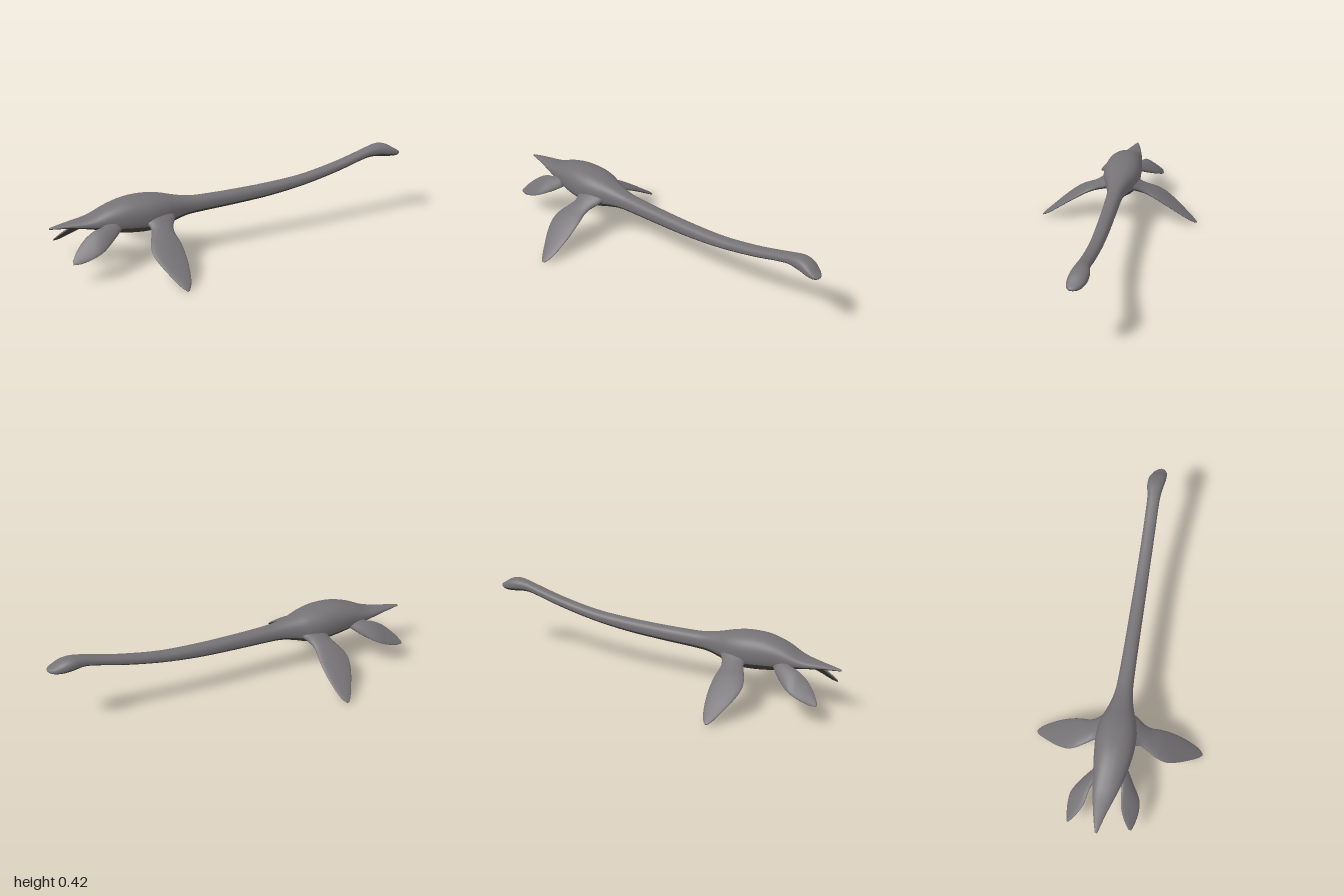
import * as THREE from 'three';

const V = (x, y, z) => new THREE.Vector3(x, y, z);

// Smooth closed skin over rings: centre c, half axes a and b.
// Group 0 is the upper skin, group 1 the faces turned down (the belly side).
function loft(rings, steps, sides, power) {
  const curves = ['c', 'a', 'b'].map(
    (k) => new THREE.CatmullRomCurve3(rings.map((r) => r[k]), false, 'catmullrom', 0.5));
  const rows = (rings.length - 1) * steps;
  const pos = [], idx = [];
  const bend = (v) => Math.sign(v) * Math.pow(Math.abs(v), 2 / power);
  for (let i = 0; i <= rows; i++) {
    const [c, a, b] = curves.map((k) => k.getPoint(i / rows));
    for (let j = 0; j < sides; j++) {
      const t = (j / sides) * Math.PI * 2;
      const p = c.clone().addScaledVector(a, bend(Math.cos(t))).addScaledVector(b, bend(Math.sin(t)));
      pos.push(p.x, p.y, p.z);
    }
  }
  for (let i = 0; i < rows; i++) {
    for (let j = 0; j < sides; j++) {
      const p = i * sides + j, q = i * sides + ((j + 1) % sides);
      idx.push(p, p + sides, q, q, p + sides, q + sides);
    }
  }
  // End caps
  const first = pos.length / 3, last = first + 1, end = rows * sides;
  const c0 = rings[0].c, c1 = rings[rings.length - 1].c;
  pos.push(c0.x, c0.y, c0.z, c1.x, c1.y, c1.z);
  for (let j = 0; j < sides; j++) {
    const k = (j + 1) % sides;
    idx.push(first, j, k, last, end + k, end + j);
  }
  const g = new THREE.BufferGeometry();
  g.setAttribute('position', new THREE.Float32BufferAttribute(pos, 3));
  g.setIndex(idx);
  g.computeVertexNormals();

  // Split upper and lower faces by how far they turn down
  const normal = g.attributes.normal;
  const upper = [], lower = [];
  for (let i = 0; i < idx.length; i += 3) {
    const face = idx.slice(i, i + 3);
    const down = face.reduce((sum, v) => sum + normal.getY(v), 0) / 3;
    (down < -0.42 ? lower : upper).push(...face);
  }
  g.setIndex([...upper, ...lower]);
  g.addGroup(0, upper.length, 0);
  g.addGroup(upper.length, lower.length, 1);
  return g;
}

// Paddle from pairs of opposite edge points and a half thickness
function paddle(sections) {
  const mid = (s) => s[0].clone().add(s[1]).multiplyScalar(0.5);
  const rings = sections.map((s, i) => {
    const before = mid(sections[Math.max(i - 1, 0)]);
    const after = mid(sections[Math.min(i + 1, sections.length - 1)]);
    const a = s[0].clone().sub(s[1]).multiplyScalar(0.5);
    const b = a.clone().cross(after.sub(before)).normalize().multiplyScalar(s[2]);
    return { c: mid(s), a, b };
  });
  return loft(rings, 6, 28, 2);
}

// Tail to snout: x, bottom, top, middle z, half width
const BODY = [
  [-1.0, 0.242, 0.25, -0.037, 0.006],
  [-0.95, 0.239, 0.258, -0.036, 0.02],
  [-0.9, 0.236, 0.265, -0.034, 0.033],
  [-0.8, 0.22, 0.283, -0.026, 0.06],
  [-0.7, 0.193, 0.328, -0.016, 0.082],
  [-0.6, 0.174, 0.354, -0.011, 0.098],
  [-0.5, 0.167, 0.356, -0.01, 0.104],
  [-0.42, 0.174, 0.345, -0.01, 0.092],
  [-0.35, 0.194, 0.326, -0.008, 0.068],
  [-0.28, 0.21, 0.31, -0.006, 0.05],
  [-0.2, 0.215, 0.302, -0.005, 0.042],
  [0.0, 0.222, 0.3, -0.004, 0.038],
  [0.2, 0.234, 0.304, -0.003, 0.036],
  [0.4, 0.26, 0.318, -0.002, 0.034],
  [0.6, 0.302, 0.355, -0.001, 0.033],
  [0.75, 0.344, 0.394, -0.001, 0.033],
  [0.82, 0.358, 0.414, -0.001, 0.035],
  [0.88, 0.354, 0.424, -0.002, 0.044],
  [0.93, 0.349, 0.414, 0.004, 0.046],
  [0.97, 0.35, 0.39, 0.013, 0.037],
  [0.993, 0.357, 0.376, 0.018, 0.021],
  [1.0, 0.363, 0.37, 0.019, 0.008],
];

// Front paddle: z, y, leading x, trailing x, half thickness
const FRONT = [
  [0.03, 0.262, -0.36, -0.56, 0.034],
  [0.08, 0.236, -0.375, -0.53, 0.028],
  [0.12, 0.214, -0.4, -0.52, 0.023],
  [0.16, 0.194, -0.41, -0.537, 0.019],
  [0.21, 0.168, -0.404, -0.56, 0.017],
  [0.26, 0.136, -0.402, -0.566, 0.015],
  [0.32, 0.094, -0.407, -0.546, 0.012],
  [0.38, 0.049, -0.42, -0.513, 0.009],
  [0.42, 0.019, -0.436, -0.488, 0.007],
  [0.442, 0.003, -0.454, -0.468, 0.003],
];

// Rear paddle: outer x y z, inner x y z, half thickness, extra splay on the right
const REAR = [
  [-0.66, 0.225, 0.075, -0.71, 0.262, 0.025, 0.022, 0.01],
  [-0.71, 0.19, 0.105, -0.75, 0.248, 0.055, 0.017, 0.035],
  [-0.78, 0.155, 0.148, -0.8, 0.235, 0.059, 0.014, 0.05],
  [-0.84, 0.13, 0.155, -0.855, 0.203, 0.068, 0.011, 0.056],
  [-0.9, 0.11, 0.143, -0.905, 0.158, 0.092, 0.008, 0.065],
  [-0.936, 0.106, 0.13, -0.936, 0.12, 0.116, 0.003, 0.073],
];

export function createModel() {
  const model = new THREE.Group();
  model.name = 'longNeckedSeaReptile';
  const skin = new THREE.MeshStandardMaterial({ color: 0x757275 });
  skin.name = 'grey skin';
  const belly = new THREE.MeshStandardMaterial({ color: 0x42423a });
  belly.name = 'dark belly';
  const add = (name, geometry) => {
    const mesh = new THREE.Mesh(geometry, [skin, belly]);
    mesh.name = name;
    model.add(mesh);
  };

  // Tail, trunk, neck and head in one skin
  add('bodyNeckAndHead', loft(BODY.map(([x, low, high, z, w]) => ({
    c: V(x, (low + high) / 2, z), a: V(0, 0, w), b: V(0, (high - low) / 2, 0),
  })), 6, 56, 2.3));

  // Paddles on both sides, the far ones slightly higher and wider
  for (const side of [1, -1]) {
    const label = side > 0 ? 'Near' : 'Far';
    add('frontPaddle' + label, paddle(FRONT.map(([z, y, lead, trail, t]) => {
      const h = y + (side < 0 ? 0.02 * z : 0);
      return [V(lead, h, side * z), V(trail, h, side * z), t];
    })));
    add('rearPaddle' + label, paddle(REAR.map(([ox, oy, oz, ix, iy, iz, t, splay]) => {
      const s = side < 0 ? splay : 0;
      return [V(ox, oy, side * (oz + s)), V(ix, iy, side * (iz + s)), t];
    })));
  }
  return model;
}
